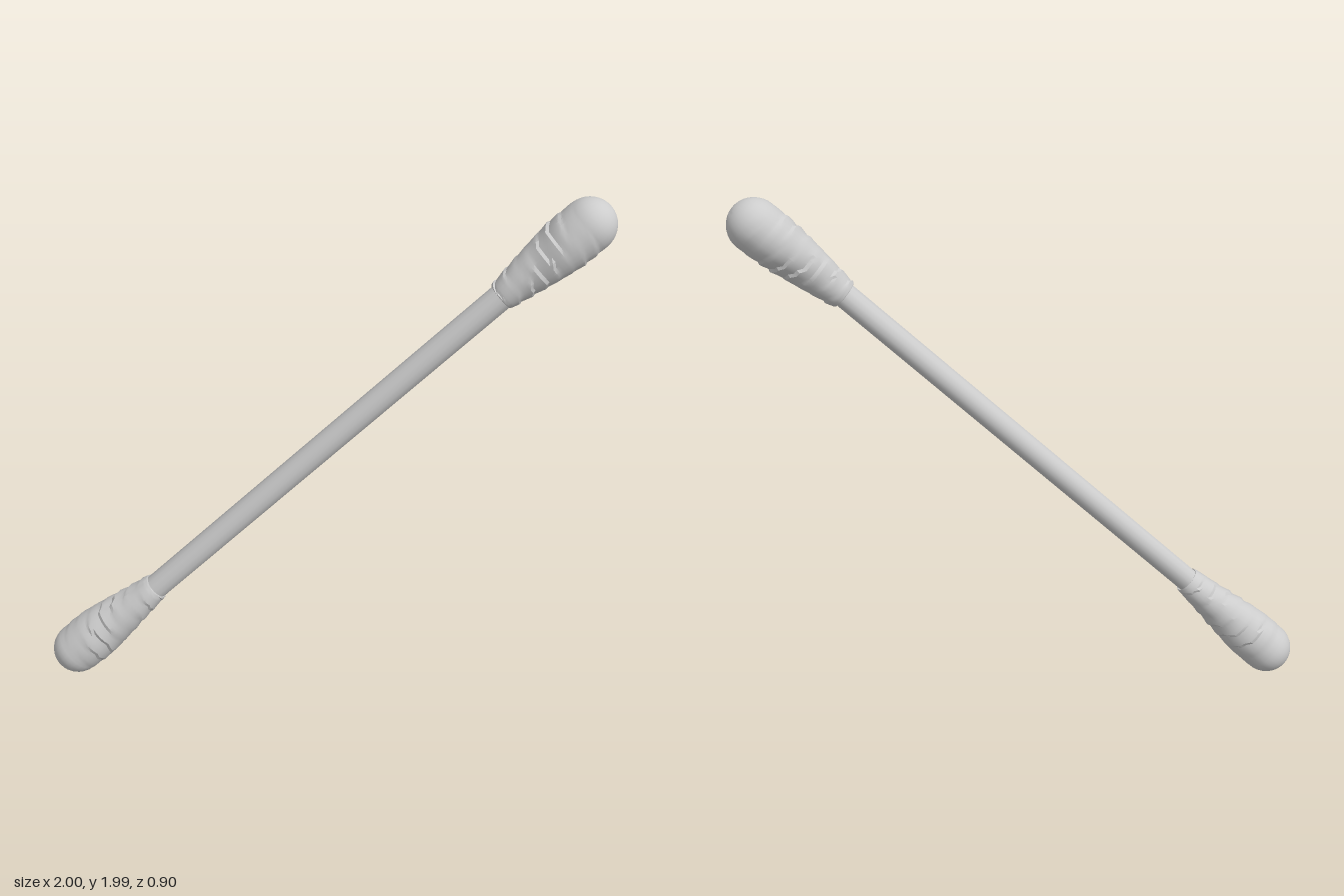
import * as THREE from 'three';
import { toCreasedNormals } from 'three/addons/utils/BufferGeometryUtils.js';

const BALL = 0.1; // radius of the rounded tip

// Turn an object so that its local y runs from a to b
function aim(object, a, b) {
  object.position.copy(a);
  object.quaternion.setFromUnitVectors(new THREE.Vector3(0, 1, 0), b.clone().sub(a).normalize());
  return object;
}

// Wound cotton bud: narrow neck at y = 0, round tip centred at y = length
function budGeometry(length, seed) {
  const neck = new THREE.SplineCurve([
    [0.047, -0.004], [0.056, 0], [0.068, 0.2], [0.086, 0.5], [0.099, 0.76], [BALL, 1],
  ].map(([r, t]) => new THREE.Vector2(r, t * length)));
  const profile = neck.getPoints(44);
  for (let i = 1; i <= 9; i++) {
    const a = (i / 9) * Math.PI / 2;
    profile.push(new THREE.Vector2(Math.max(0, BALL * Math.cos(a)), length + BALL * Math.sin(a)));
  }
  const geometry = new THREE.LatheGeometry(profile, 26);
  const p = geometry.attributes.position;
  for (let i = 0; i < p.count; i++) {
    const t = p.getY(i) / length;
    const phi = Math.atan2(p.getX(i), p.getZ(i));
    // Spiral ledges of wound fibre, broken into patches and fading at the tip
    const turn = t * 7.3 + phi / (2 * Math.PI) + 0.12 * Math.sin(3 * phi + seed) + 20.03;
    const saw = turn - Math.floor(turn);
    const patch = 0.55 + 0.45 * Math.sin(2 * phi + 9 * t + seed);
    const fade = THREE.MathUtils.clamp((1.05 - t) / 0.35, 0, 1);
    const k = 1 + fade * (0.11 * patch * (saw - 0.5) + 0.03 * Math.sin(2 * phi + seed + 3 * t));
    p.setX(i, p.getX(i) * k);
    p.setZ(i, p.getZ(i) * k);
  }
  return toCreasedNormals(geometry, 0.45);
}

// Rolled paper stick: a spiral outline whose step is the lengthwise seam
function stickGeometry(length) {
  const outline = [];
  for (let i = 0; i <= 14; i++) {
    const a = (i / 14) * Math.PI * 2;
    const r = 0.046 + 0.004 * (i / 14);
    outline.push(new THREE.Vector2(r * Math.cos(a), r * Math.sin(a)));
  }
  const geometry = new THREE.ExtrudeGeometry(new THREE.Shape(outline), {
    depth: length, steps: 1, bevelEnabled: false,
  });
  geometry.rotateX(-Math.PI / 2);
  return toCreasedNormals(geometry, 0.5);
}

export function createModel() {
  const model = new THREE.Group();
  model.name = 'cottonSwab';
  const white = new THREE.MeshStandardMaterial({ color: 0xcccccc });
  white.name = 'cotton white';

  // Neck and tip centre of each bud
  const ends = [
    { name: 'lowerBud', neck: new THREE.Vector3(-0.585, 0.405, 0.25), tip: new THREE.Vector3(-0.9, 0.1, 0.35) },
    { name: 'upperBud', neck: new THREE.Vector3(0.63, 1.63, -0.235), tip: new THREE.Vector3(0.9, 1.89, -0.352) },
  ];

  ends.forEach(({ name, neck, tip }, i) => {
    const bud = new THREE.Mesh(budGeometry(neck.distanceTo(tip), 1 + i * 2.3), white);
    bud.name = name;
    model.add(aim(bud, neck, tip));
  });

  // Stick, running a little way into both buds
  const [low, high] = ends.map((e) => e.neck);
  const along = high.clone().sub(low).normalize().multiplyScalar(0.06);
  const start = low.clone().sub(along);
  const end = high.clone().add(along);
  const stick = new THREE.Mesh(stickGeometry(start.distanceTo(end)), white);
  stick.name = 'stick';
  model.add(aim(stick, start, end));

  return model;
}
